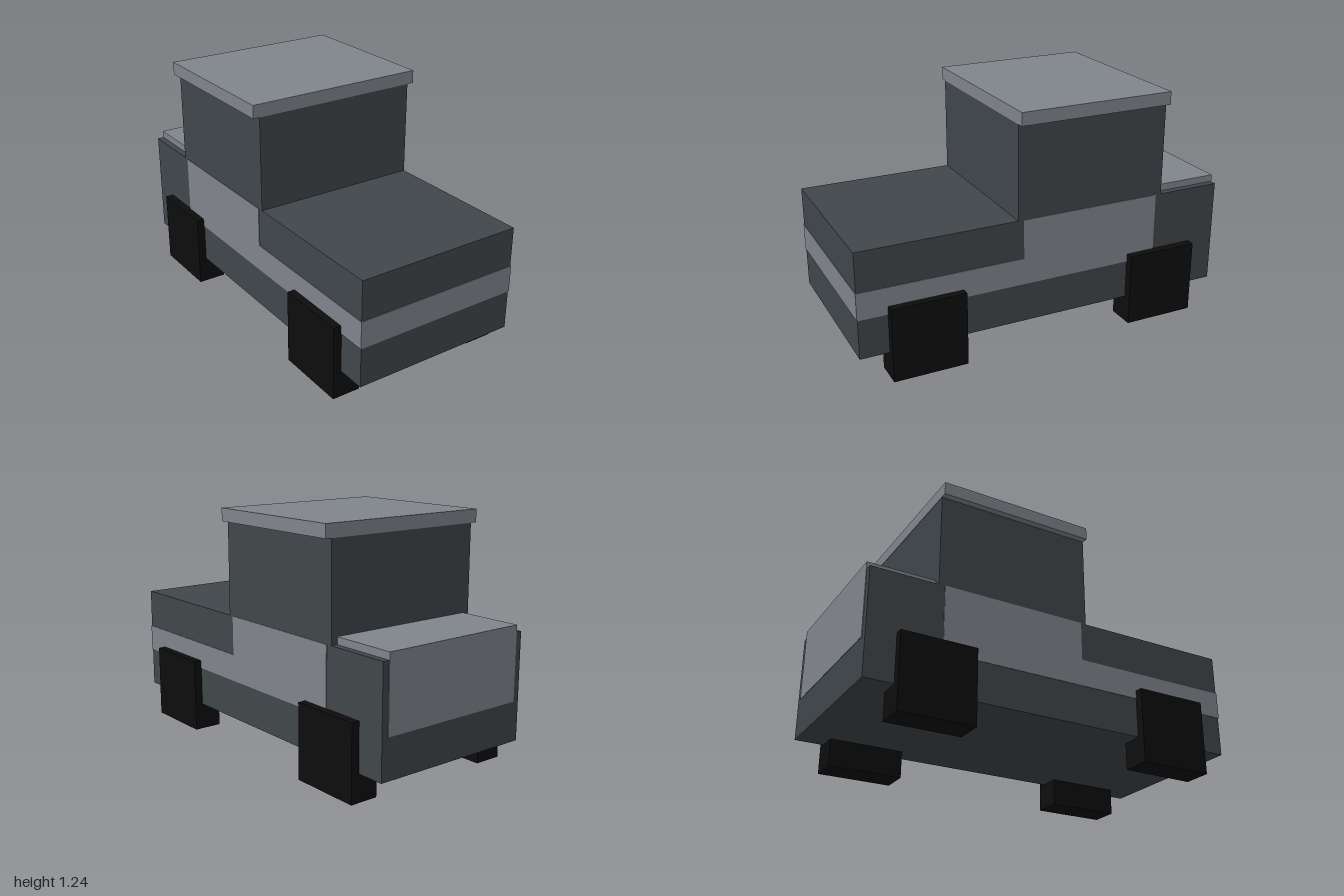
import * as THREE from 'three';

export function createModel() {
  const model = new THREE.Group();
  model.name = 'blockTruck';

  const makeMaterial = (name, color) => {
    const m = new THREE.MeshStandardMaterial({ color });
    m.name = name;
    return m;
  };
  const dark = makeMaterial('charcoal paint', 0x40464a);
  const light = makeMaterial('grey trim', 0x80858c);
  const black = makeMaterial('black tyre', 0x0d0d0d);

  // Box given by its minimum and maximum on each axis
  function block(name, material, [x0, x1], [y0, y1], [z0, z1]) {
    const mesh = new THREE.Mesh(new THREE.BoxGeometry(x1 - x0, y1 - y0, z1 - z0), material);
    mesh.position.set((x0 + x1) / 2, (y0 + y1) / 2, (z0 + z1) / 2);
    mesh.name = name;
    model.add(mesh);
    return mesh;
  }

  // Lower body, cabin and overhanging roof
  block('body', dark, [-0.445, 0.445], [0.14, 0.69], [-0.997, 0.997]);
  block('cabin', dark, [-0.445, 0.445], [0.69, 1.176], [-0.652, 0.17]);
  block('roof', light, [-0.48, 0.48], [1.176, 1.243], [-0.654, 0.171]);

  // Band that wraps the nose and both front sides
  block('frontBand', light, [-0.448, 0.448], [0.345, 0.485], [0.14, 1]);

  // Door panels just proud of the body sides
  for (const [name, s] of [['leftDoor', 1], ['rightDoor', -1]]) {
    block(name, light, s > 0 ? [0.442, 0.448] : [-0.448, -0.442], [0.345, 0.69], [-0.62, 0.14]);
  }

  // Rear cargo box, showing above the bed and on the tail
  block('cargoBox', light, [-0.41, 0.41], [0.345, 0.727], [-1, -0.65]);

  // Four square wheels
  for (const [side, s] of [['Left', 1], ['Right', -1]]) {
    for (const [end, z] of [['front', 0.655], ['rear', -0.655]]) {
      const xs = s > 0 ? [0.338, 0.488] : [-0.488, -0.338];
      block(end + side + 'Wheel', black, xs, [0, 0.387], [z - 0.193, z + 0.193]);
    }
  }
  return model;
}
